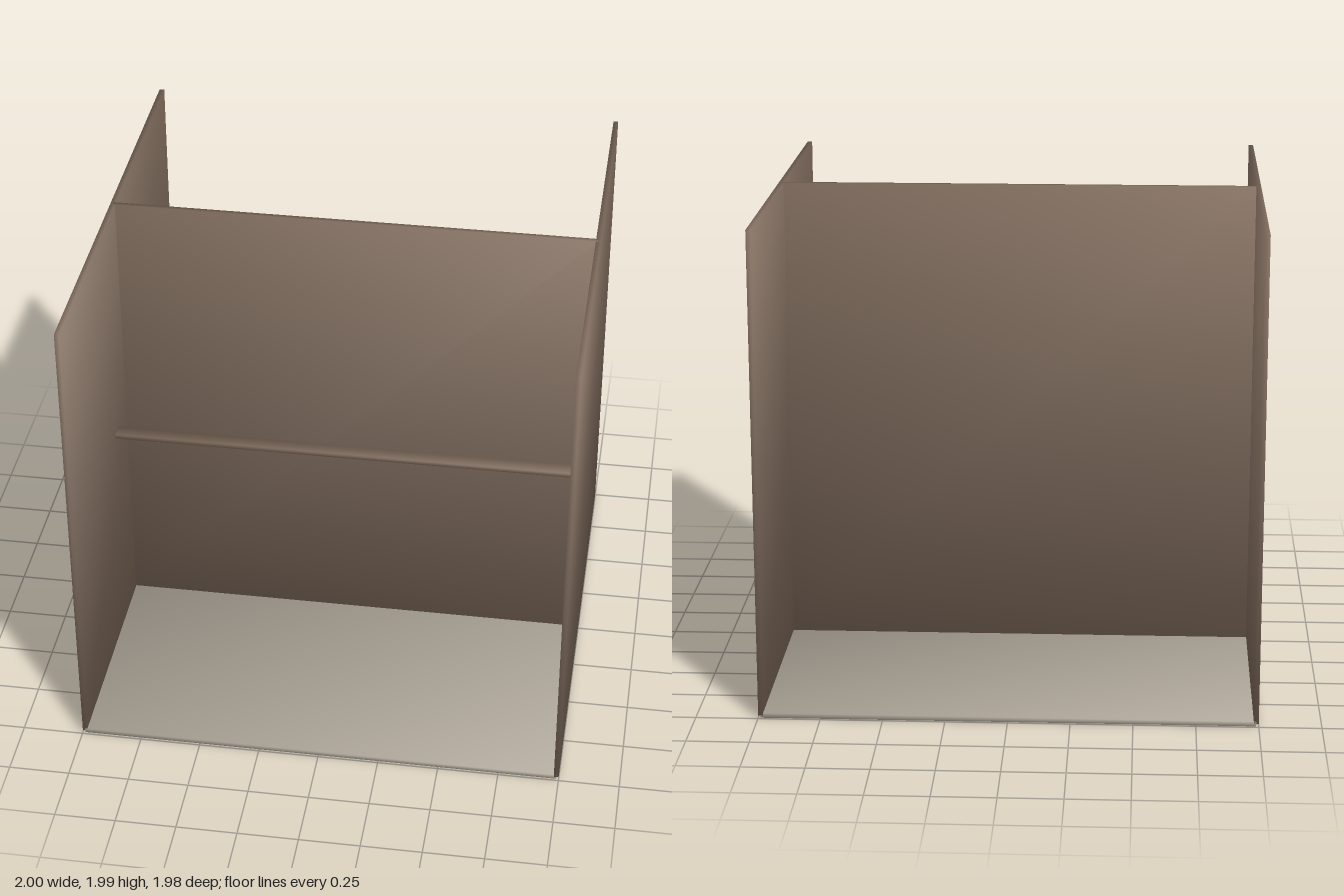
import * as THREE from 'three';

// Box whose corner normals are averaged, giving soft shading across each panel
function softBox(w, h, d) {
  const geometry = new THREE.BoxGeometry(w, h, d);
  const p = geometry.attributes.position;
  const n = geometry.attributes.normal;
  const s = 1 / Math.sqrt(3);
  for (let i = 0; i < p.count; i++) {
    n.setXYZ(i, Math.sign(p.getX(i)) * s, Math.sign(p.getY(i)) * s, Math.sign(p.getZ(i)) * s);
  }
  return geometry;
}

export function createModel() {
  const group = new THREE.Group();
  const brown = new THREE.MeshStandardMaterial({ color: 0x806c5d });
  brown.name = 'brown panel';
  const stone = new THREE.MeshStandardMaterial({ color: 0xb0a89b });
  stone.name = 'pale floor';

  const add = (name, material, size, position) => {
    const mesh = new THREE.Mesh(softBox(...size), material);
    mesh.name = name;
    mesh.position.set(...position);
    group.add(mesh);
  };

  // Floor slab, reaching into the middle of the side walls
  add('floor', stone, [1.98, 0.02, 1.98], [0, 0.01, 0]);

  // Mirrored side walls
  for (const side of [-1, 1]) {
    add(side > 0 ? 'leftWall' : 'rightWall', brown, [0.02, 1.98, 1.98], [side * 0.99, 1, 0]);
  }

  // Dividing wall across the middle
  add('dividingWall', brown, [1.98, 1.98, 0.02], [0, 1, 0]);

  // Narrow rail in front of the divider
  add('rail', brown, [1.97, 0.02, 0.06], [0, 0.985, 0.195]);

  return group;
}
